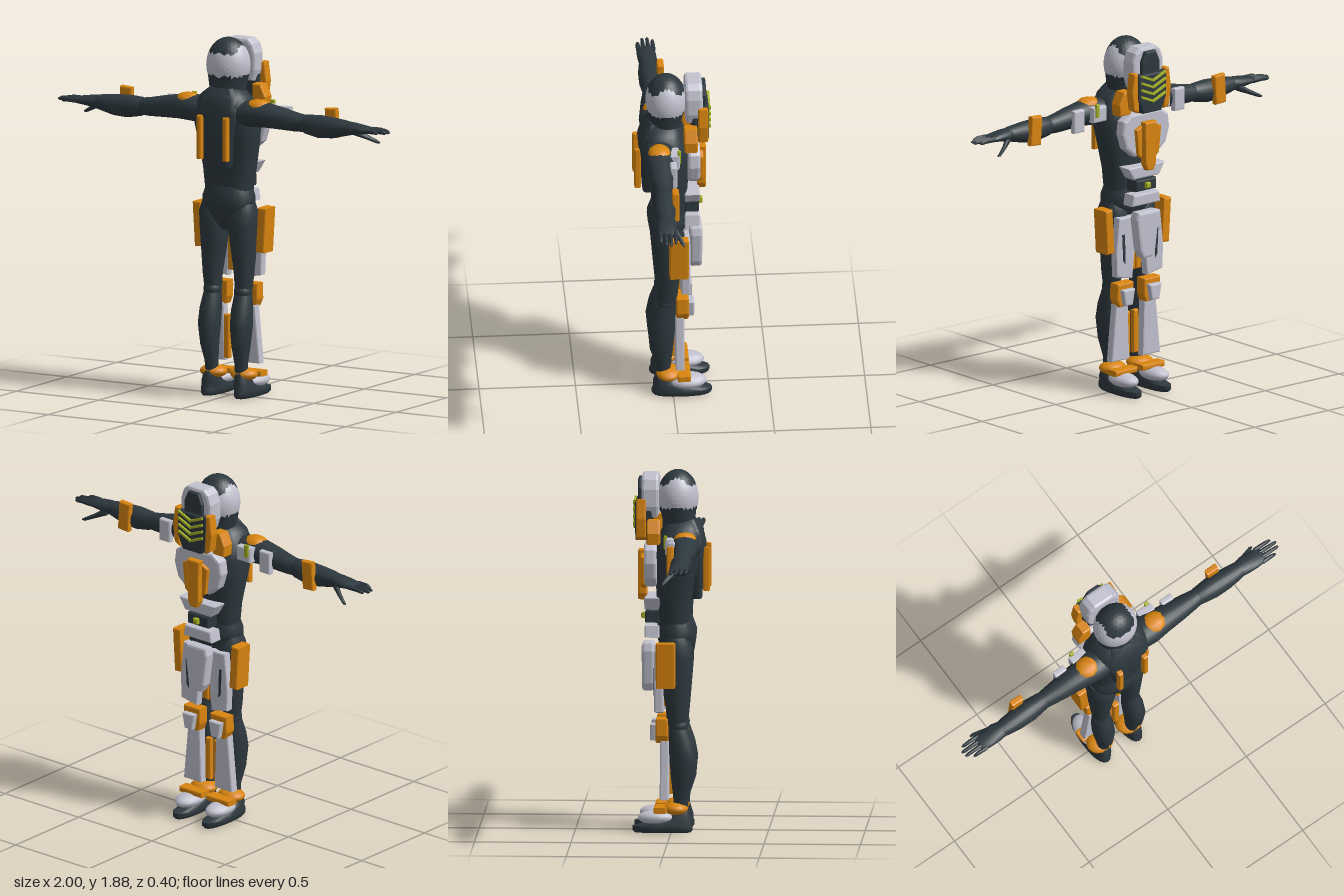
import * as THREE from 'three';
import { toCreasedNormals } from 'three/addons/utils/BufferGeometryUtils.js';

const paint = (name, color) => Object.assign(new THREE.MeshStandardMaterial({ color }), { name });

// Superellipse cross-sections [height, c, cz, r, rz] joined along y (or along x for arms)
function loft(rings, { along = 'y', n = 20, p = 2 } = {}) {
  const pos = [], idx = [], sup = (v) => Math.sign(v) * Math.abs(v) ** (2 / p);
  const put = (h, a, z) => (along === 'y' ? pos.push(a, h, z) : pos.push(h, a, z));
  const tri = (a, b, c) => (along === 'y' ? idx.push(a, b, c) : idx.push(a, c, b));
  for (const [h, c, cz, r, rz] of rings)
    for (let i = 0; i < n; i++) {
      const t = (i / n) * Math.PI * 2;
      put(h, c + r * sup(Math.cos(t)), cz + rz * sup(Math.sin(t)));
    }
  for (let k = 0; k < rings.length - 1; k++)
    for (let i = 0; i < n; i++) {
      const a = k * n + i, b = k * n + ((i + 1) % n);
      tri(a, a + n, b);
      tri(b, a + n, b + n);
    }
  const first = rings[0], last = rings.at(-1), m = rings.length * n;
  put(first[0], first[1], first[2]);
  put(last[0], last[1], last[2]);
  for (let i = 0; i < n; i++) {
    const j = (i + 1) % n;
    tri(m, i, j);
    tri(m + 1, m - n + j, m - n + i);
  }
  const g = new THREE.BufferGeometry();
  g.setAttribute('position', new THREE.Float32BufferAttribute(pos, 3));
  g.setIndex(idx);
  return toCreasedNormals(g, 0.8);
}

// Bevelled armour plate: outline in x,y between two depths
function plate(pts, z0, z1, bevel = 0.008) {
  const b = Math.min(bevel, Math.abs(z1 - z0) / 3), lo = Math.min(z0, z1);
  const g = new THREE.ExtrudeGeometry(new THREE.Shape(pts.map((q) => new THREE.Vector2(...q))), {
    depth: Math.abs(z1 - z0) - 2 * b, bevelThickness: b, bevelSize: b, bevelOffset: -b, bevelSegments: 2,
  });
  return g.translate(0, 0, lo + b);
}
const rect = (x0, x1, y0, y1) => [[x0, y0], [x1, y0], [x1, y1], [x0, y1]];
const block = (x0, x1, y0, y1, z0, z1) => plate(rect(x0, x1, y0, y1), z0, z1);
// Symmetric outline from its right half, listed from bottom to top
const both = (half) => [...half, ...half.slice().reverse().map(([x, y]) => [-x, y])];
const blob = (x, y, z, rx, ry, rz, d = 2) =>
  new THREE.IcosahedronGeometry(1, d).scale(rx, ry, rz).translate(x, y, z);

function flipX(geo) {
  const g = geo.index ? geo.toNonIndexed() : geo.clone();
  g.scale(-1, 1, 1);
  for (const a of Object.values(g.attributes))
    for (let i = 0; i < a.count; i += 3)
      for (let c = 0; c < a.itemSize; c++) {
        const s = a.getComponent(i + 1, c);
        a.setComponent(i + 1, c, a.getComponent(i + 2, c));
        a.setComponent(i + 2, c, s);
      }
  return g;
}

// Keep the triangles whose centre passes a test
function pick(geo, test) {
  const p = geo.attributes.position, out = [];
  for (let i = 0; i < p.count; i += 3) {
    const v = [0, 1, 2].map((k) => new THREE.Vector3().fromBufferAttribute(p, i + k));
    const c = v[0].clone().add(v[1]).add(v[2]).divideScalar(3);
    if (test(c)) v.forEach((q) => out.push(q.x, q.y, q.z));
  }
  const g = new THREE.BufferGeometry();
  g.setAttribute('position', new THREE.Float32BufferAttribute(out, 3));
  g.computeVertexNormals();
  return g;
}

export function createModel() {
  const root = new THREE.Group();
  root.name = 'armouredFigure';
  const dark = paint('undersuit', 0x2d383e), light = paint('paleArmour', 0xc2c2d0);
  const orange = paint('orangeArmour', 0xd9850f), green = paint('greenLights', 0xa3b022);
  const add = (name, geo, mat) => {
    const m = new THREE.Mesh(geo, mat);
    m.name = name;
    root.add(m);
  };
  const pair = (name, geo, mat) => {
    add(name + 'Left', geo, mat);
    add(name + 'Right', flipX(geo), mat);
  };

  // Torso, pelvis and neck
  add('torso', loft([[1.08, 0, 0.02, 0.13, 0.085], [1.2, 0, 0.015, 0.145, 0.095], [1.35, 0, 0.025, 0.17, 0.11],
    [1.46, 0, 0.04, 0.18, 0.13], [1.54, 0, 0.05, 0.165, 0.12], [1.59, 0, 0.055, 0.13, 0.1],
    [1.63, 0, 0.05, 0.08, 0.07]], { n: 28, p: 2.5 }), dark);
  add('pelvis', loft([[0.88, 0, 0.03, 0.03, 0.05], [0.94, 0, 0.03, 0.09, 0.085], [1.0, 0, 0.025, 0.145, 0.1],
    [1.05, 0, 0.025, 0.145, 0.105], [1.11, 0, 0.02, 0.125, 0.09]], { n: 24, p: 2.2 }), dark);
  add('neck', loft([[1.57, 0, 0.035, 0.095, 0.085], [1.62, 0, 0.035, 0.1, 0.085], [1.69, 0, 0.03, 0.112, 0.095]]), dark);
  add('backpack', loft([[1.215, 0, 0.125, 0.07, 0.03], [1.23, 0, 0.12, 0.078, 0.036], [1.36, 0, 0.125, 0.09, 0.04],
    [1.5, 0, 0.125, 0.13, 0.052], [1.58, 0, 0.11, 0.11, 0.045], [1.63, 0, 0.1, 0.07, 0.02]], { p: 3.5 }), dark);
  pair('backStripe', block(0.065, 0.092, 1.26, 1.49, 0.165, 0.2), orange);

  // Head: pale band with a dark crown and jaw
  const skull = blob(0, 1.74, 0.03, 0.118, 0.145, 0.107, 6);
  const isDark = (c) => c.y < 1.69 || (c.y > 1.81 && Math.abs(c.x) < 0.078);
  add('headCrown', pick(skull, isDark), dark);
  add('headBand', pick(skull, (c) => !isDark(c)), light);

  // Mask: hood, visor, grille and its chevrons
  add('hood', plate(both([[0.085, 1.645], [0.102, 1.7], [0.102, 1.79], [0.085, 1.84], [0.055, 1.865]]), -0.065, -0.155, 0.015), light);
  add('visor', plate(both([[0.06, 1.72], [0.06, 1.79], [0.035, 1.845]]), -0.14, -0.175), dark);
  add('faceGrille', plate(both([[0.06, 1.52], [0.095, 1.6], [0.095, 1.73]]), -0.1, -0.188), dark);
  for (let i = 0; i < 4; i++) {
    const y = 1.575 + i * 0.037;
    pair('chevron' + i, plate([[0, y], [0.08, y + 0.033], [0.08, y + 0.048], [0, y + 0.014]], -0.185, -0.199, 0.002), green);
  }
  pair('maskPost', plate([[0.085, 1.525], [0.12, 1.545], [0.132, 1.64], [0.118, 1.74], [0.09, 1.74]], -0.13, -0.182), orange);
  pair('collarBlock', plate([[0.09, 1.51], [0.165, 1.51], [0.17, 1.57], [0.14, 1.635], [0.09, 1.635]], -0.055, -0.125), orange);

  // Chest and belly armour
  add('chestPlate', plate(both([[0.075, 1.28], [0.135, 1.33], [0.16, 1.41], [0.15, 1.48], [0.1, 1.515]]), -0.075, -0.14, 0.015), light);
  add('chestKeel', plate(both([[0.02, 1.205], [0.035, 1.24], [0.04, 1.465]]), -0.13, -0.176), orange);
  pair('chestWing', plate([[0.045, 1.27], [0.07, 1.29], [0.085, 1.43], [0.045, 1.45]], -0.13, -0.16), orange);
  add('upperBelt', plate(both([[0.085, 1.16], [0.125, 1.225]]), -0.06, -0.14), light);
  add('bellyBlock', block(-0.07, 0.07, 1.09, 1.15, -0.06, -0.138), dark);
  add('bellyLight', block(-0.015, 0.015, 1.105, 1.135, -0.13, -0.16), green);
  add('lowerBelt', plate(both([[0.095, 1.015], [0.085, 1.075]]), -0.06, -0.14), light);
  add('loinGuard', plate(both([[0.03, 0.73], [0.052, 0.77], [0.075, 0.94], [0.065, 0.98]]), -0.09, -0.155, 0.014), light);

  // Legs
  pair('thigh', loft([[0.56, 0.092, 0.03, 0.044, 0.05], [0.64, 0.095, 0.03, 0.05, 0.058], [0.78, 0.09, 0.025, 0.065, 0.075],
    [0.9, 0.085, 0.025, 0.078, 0.085], [0.97, 0.09, 0.025, 0.075, 0.085], [1.02, 0.1, 0.025, 0.05, 0.06]]), dark);
  pair('kneeJoint', blob(0.092, 0.555, 0.035, 0.047, 0.05, 0.052, 3), dark);
  pair('calf', loft([[0.1, 0.09, 0.05, 0.032, 0.034], [0.18, 0.09, 0.05, 0.034, 0.04], [0.27, 0.095, 0.06, 0.045, 0.06],
    [0.38, 0.097, 0.06, 0.056, 0.07], [0.46, 0.095, 0.05, 0.055, 0.065], [0.54, 0.093, 0.035, 0.045, 0.052]]), dark);
  pair('thighPlate', plate([[0.05, 0.615], [0.155, 0.635], [0.16, 0.76], [0.14, 0.95], [0.03, 0.95], [0.035, 0.75]], -0.04, -0.087), light);
  pair('thighSlit', plate([[0.1, 0.7], [0.115, 0.72], [0.122, 0.86], [0.105, 0.86]], -0.083, -0.09, 0.001), dark);
  pair('innerThighStrip', block(0.002, 0.038, 0.65, 0.9, -0.02, -0.055), orange);
  const hip = block(-0.025, 0.025, -0.118, 0.118, -0.075, 0.025);
  pair('hipGuard', hip.rotateZ(-0.06).translate(0.192, 0.883, 0), orange);
  pair('kneeGuard', plate([[0.05, 0.47], [0.13, 0.47], [0.148, 0.51], [0.145, 0.595], [0.035, 0.595], [0.035, 0.51]], -0.015, -0.08), orange);
  pair('kneeCap', plate([[0.065, 0.48], [0.115, 0.48], [0.13, 0.565], [0.05, 0.565]], -0.07, -0.11), light);
  pair('shinPlate', plate([[0.045, 0.175], [0.165, 0.175], [0.135, 0.48], [0.055, 0.48]], -0.01, -0.057), light);
  pair('innerShinStrip', block(0.012, 0.045, 0.19, 0.42, 0.008, -0.025), orange);

  // Feet
  pair('shoe', loft([[0, 0.1, -0.045, 0.042, 0.145], [0.012, 0.1, -0.045, 0.054, 0.156], [0.035, 0.1, -0.045, 0.054, 0.156],
    [0.05, 0.1, -0.02, 0.05, 0.125], [0.075, 0.097, 0.035, 0.045, 0.07], [0.13, 0.092, 0.05, 0.034, 0.038]], { p: 2.3 }), dark);
  pair('footCap', blob(0.103, 0.078, -0.075, 0.062, 0.038, 0.1), light);
  pair('ankleGuard', blob(0.092, 0.122, 0.025, 0.075, 0.035, 0.065), orange);
  pair('ankleBar', block(0.015, 0.168, 0.105, 0.135, -0.02, -0.09), orange);

  // Arms
  const armways = { along: 'x' };
  pair('upperArm', loft([[0.12, 1.5, 0.07, 0.07, 0.085], [0.18, 1.505, 0.075, 0.07, 0.085], [0.26, 1.505, 0.078, 0.065, 0.072],
    [0.36, 1.495, 0.077, 0.057, 0.062], [0.44, 1.485, 0.075, 0.05, 0.052], [0.5, 1.482, 0.074, 0.044, 0.044]], armways), dark);
  pair('forearm', loft([[0.475, 1.482, 0.074, 0.04, 0.042], [0.5, 1.48, 0.074, 0.05, 0.048], [0.58, 1.475, 0.075, 0.06, 0.057],
    [0.66, 1.475, 0.077, 0.055, 0.055], [0.73, 1.48, 0.078, 0.043, 0.048], [0.775, 1.482, 0.078, 0.034, 0.04]], armways), dark);
  pair('palm', loft([[0.75, 1.483, 0.078, 0.034, 0.042], [0.79, 1.483, 0.076, 0.032, 0.05], [0.84, 1.483, 0.078, 0.024, 0.05],
    [0.89, 1.482, 0.078, 0.017, 0.046], [0.905, 1.482, 0.078, 0.01, 0.04]], armways), dark);
  [0.96, 0.995, 1.0, 0.98].forEach((tip, i) => {
    const z = 0.117 - i * 0.026;
    pair('finger' + i, loft([[0.88, 1.483, z, 0.013, 0.012], [0.93, 1.484, z, 0.012, 0.011],
      [tip - 0.012, 1.48, z, 0.01, 0.009], [tip, 1.479, z, 0.004, 0.004]], { along: 'x', n: 8 }), dark);
  });
  pair('thumb', loft([[0.775, 1.468, 0.055, 0.024, 0.022], [0.83, 1.437, 0.022, 0.014, 0.014],
    [0.88, 1.412, -0.002, 0.01, 0.01], [0.897, 1.407, -0.006, 0.004, 0.004]], { along: 'x', n: 10 }), dark);

  // Arm armour
  pair('shoulderCap', blob(0.212, 1.547, 0.078, 0.07, 0.038, 0.06, 1), orange);
  pair('upperArmPlate', block(0.17, 0.26, 1.47, 1.55, -0.025, 0.025), light);
  pair('armLight', block(0.225, 0.25, 1.5, 1.57, -0.032, -0.015), green);
  pair('elbowPlate', block(0.305, 0.375, 1.43, 1.55, -0.005, 0.03), light);
  pair('forearmGuard', plate([[0.595, 1.41], [0.665, 1.415], [0.655, 1.57], [0.585, 1.565]], 0.002, 0.038), orange);

  return root;
}
